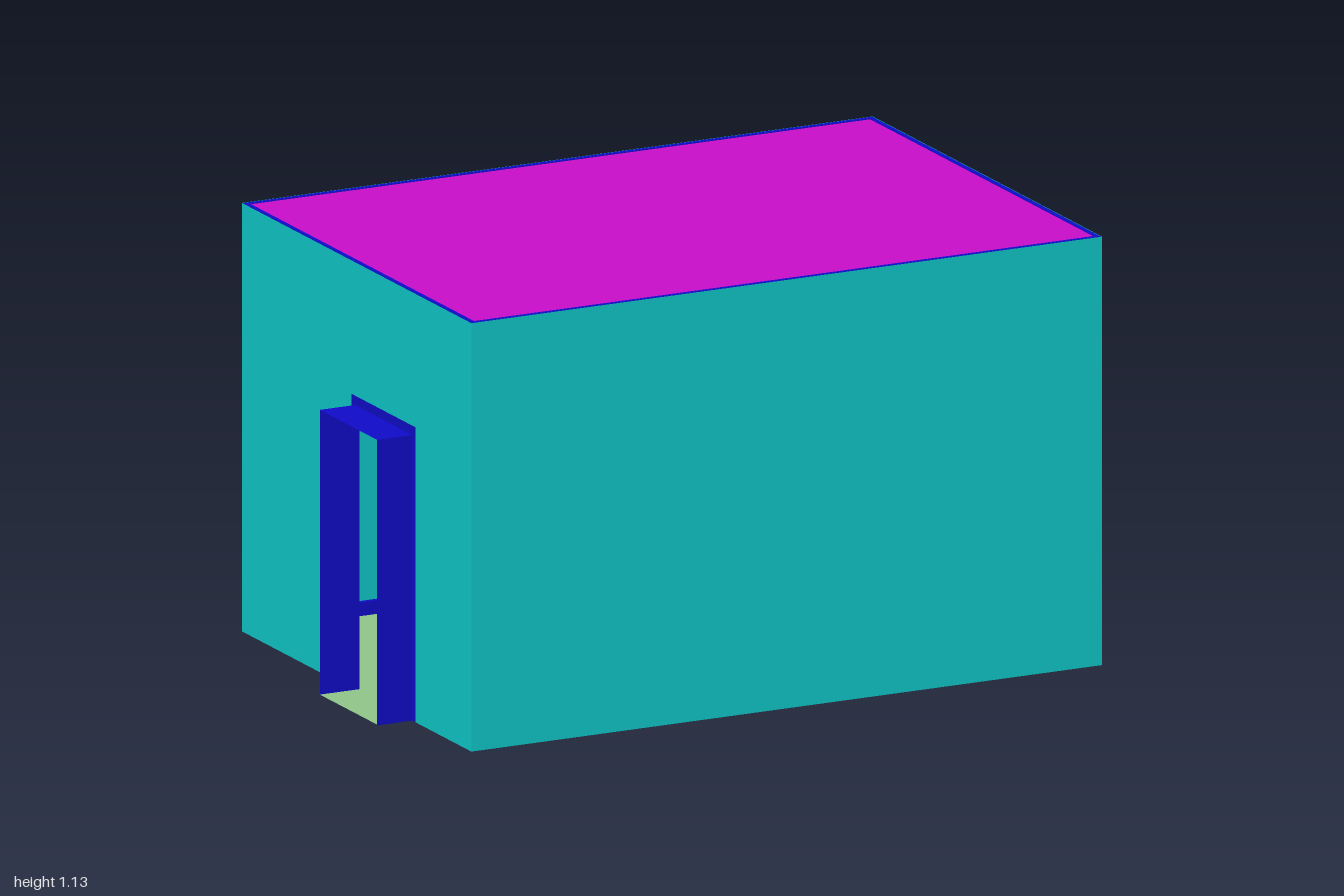
import * as THREE from 'three';

const W = 0.9, D = 0.64, H = 1.13;           // half width, half depth, height of the room
const T = 0.013, TRIM = 0.038, GAP = 0.002;  // trim thickness, trim height, clearance to the wall
const DOOR_W = 0.32, DOOR_H = 0.753, CASING = 0.0175, CASING_TOP = 0.025, REACH = 0.1;

const paint = (color) => new THREE.MeshStandardMaterial({ color, side: THREE.DoubleSide });
const cyan = paint(0x10cccc), blue = paint(0x100ccc), magenta = paint(0xcc0ecc), green = paint(0x91c88b);

function add(parent, name, geometry, material, x = 0, y = 0, z = 0) {
  const mesh = new THREE.Mesh(geometry, material);
  mesh.name = name;
  mesh.position.set(x, y, z);
  parent.add(mesh);
  return mesh;
}

function polygon(points) {
  return new THREE.Shape(points.map(([x, y]) => new THREE.Vector2(x, y)));
}

// Flat horizontal panel
function level(w, d) {
  return new THREE.PlaneGeometry(w, d).rotateX(-Math.PI / 2);
}

// End of the room, built facing +z, with a doorway centred on c
function endWall(name, c) {
  const end = new THREE.Group();
  end.name = name;
  const a = c - DOOR_W / 2, b = c + DOOR_W / 2;
  const oa = a - CASING, ob = b + CASING, top = DOOR_H + CASING_TOP;

  // Wall with the doorway notched out
  const wall = polygon([[-D, 0], [oa, 0], [oa, top], [ob, top], [ob, 0], [D, 0], [D, H], [-D, H]]);
  add(end, 'endWall', new THREE.ShapeGeometry(wall), cyan, 0, 0, W);

  // Casing around the doorway
  const casing = polygon([[oa, 0], [a, 0], [a, DOOR_H], [b, DOOR_H], [b, 0], [ob, 0], [ob, top], [oa, top]]);
  add(end, 'doorCasing', new THREE.ExtrudeGeometry(casing, { depth: T, bevelEnabled: false }), blue, 0, 0, W - T);

  // Skirting on both sides of the doorway, cornice above
  const z = W - GAP - T / 2, edge = D - GAP;
  for (const [from, to] of [[-edge, oa], [ob, edge]]) {
    add(end, 'skirting', new THREE.BoxGeometry(to - from, TRIM, T), blue, (from + to) / 2, TRIM / 2, z);
  }
  add(end, 'cornice', new THREE.BoxGeometry(2 * edge, TRIM, T), blue, 0, H - TRIM / 2, z);

  // Short passage leading out of the doorway
  for (const x of [a, b]) {
    add(end, 'passageSide', new THREE.PlaneGeometry(REACH, DOOR_H).rotateY(Math.PI / 2), blue, x, DOOR_H / 2, W + REACH / 2);
  }
  add(end, 'passageRoof', level(DOOR_W, REACH), blue, c, DOOR_H, W + REACH / 2);
  add(end, 'passageFloor', level(DOOR_W, REACH + T), green, c, GAP, W + (REACH - T) / 2);
  return end;
}

export function createModel() {
  const room = new THREE.Group();
  room.name = 'room';

  // Floor and ceiling
  add(room, 'floor', level(2 * (W - T), 2 * (D - T)), green, 0, GAP, 0);
  add(room, 'ceiling', level(2 * (W - T), 2 * (D - T)), magenta, 0, H - GAP, 0);

  // Long walls with skirting and cornice
  for (const s of [1, -1]) {
    const side = new THREE.Group();
    side.name = s > 0 ? 'frontWall' : 'backWall';
    add(side, 'longWall', new THREE.PlaneGeometry(2 * W, H), cyan, 0, H / 2, D);
    for (const [name, y] of [['skirting', TRIM / 2], ['cornice', H - TRIM / 2]]) {
      add(side, name, new THREE.BoxGeometry(2 * (W - GAP - T), TRIM, T), blue, 0, y, D - GAP - T / 2);
    }
    if (s < 0) side.rotation.y = Math.PI;
    room.add(side);
  }

  // End walls with their doorways
  const left = endWall('leftEnd', 0.146);
  left.rotation.y = Math.PI / 2;
  const right = endWall('rightEnd', 0.15);
  right.rotation.y = -Math.PI / 2;
  room.add(left, right);
  return room;
}
